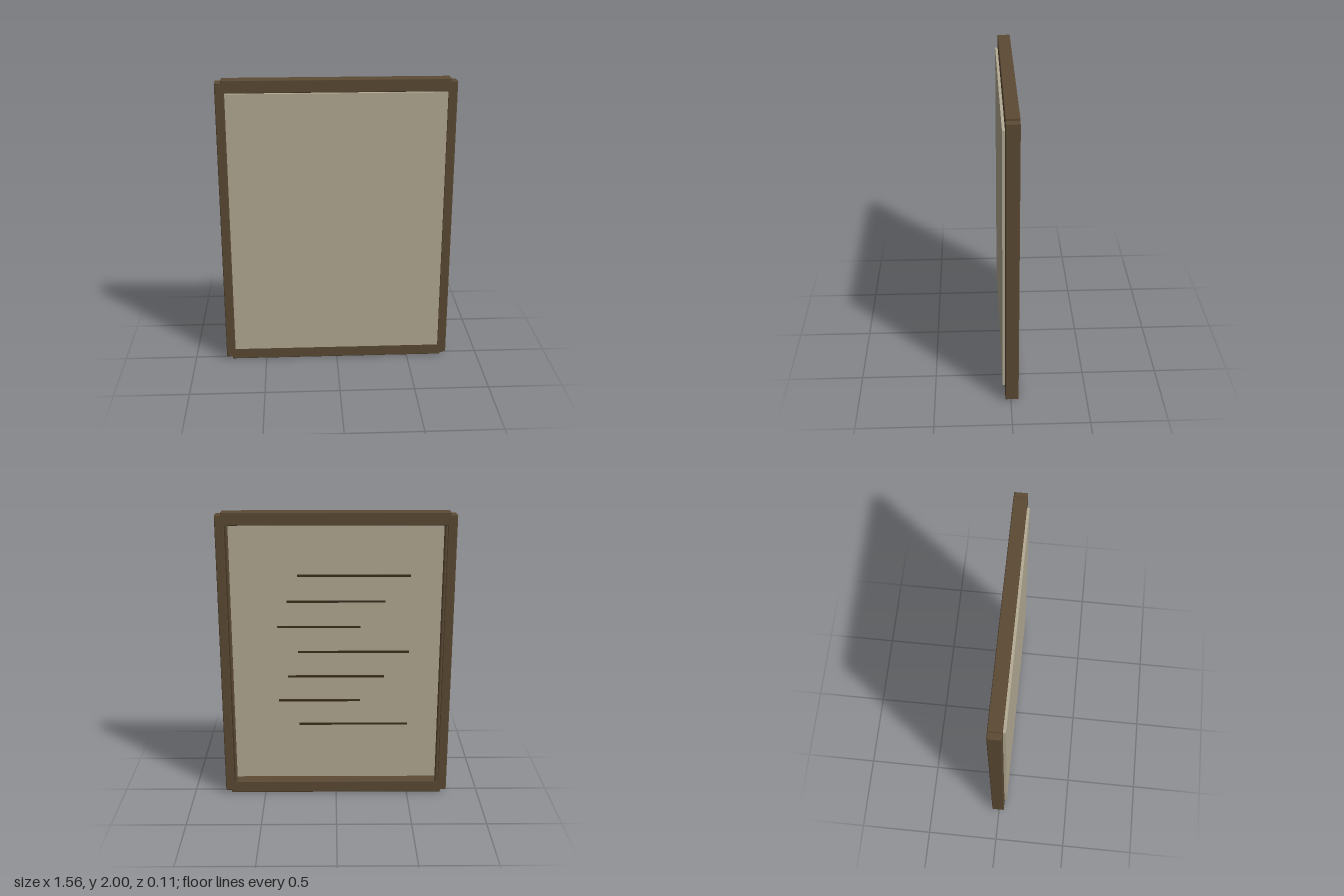
import * as THREE from 'three';
import { RoundedBoxGeometry } from 'three/addons/geometries/RoundedBoxGeometry.js';

const wood = new THREE.MeshStandardMaterial({ color: 0x5c4a34 });
const paper = new THREE.MeshStandardMaterial({ color: 0xb5ab95 });
const ink = new THREE.MeshStandardMaterial({ color: 0x3c2e1e });

export function createModel() {
  const model = new THREE.Group();
  model.name = 'framedPanel';

  const add = (name, geometry, material, x, y, z) => {
    const mesh = new THREE.Mesh(geometry, material);
    mesh.name = name;
    mesh.position.set(x, y, z);
    model.add(mesh);
    return mesh;
  };

  // Frame: long side rails, with slightly offset top and bottom rails
  const depth = 0.086, frameZ = -0.007;
  for (const [side, s] of [['left', 1], ['right', -1]]) {
    add(side + 'Rail', new RoundedBoxGeometry(0.062, 1.965, depth, 2, 0.006), wood, s * 0.75, 1, frameZ);
    // Slim bead along the inner back edge of each side rail
    add(side + 'Bead', new THREE.CylinderGeometry(0.012, 0.012, 1.83, 10), wood, s * 0.709, 1, -0.041);
  }
  for (const [end, y] of [['top', 1.957], ['bottom', 0.043]]) {
    add(end + 'Rail', new RoundedBoxGeometry(1.48, 0.086, depth, 2, 0.006), wood, 0, y, frameZ);
  }

  // Panel standing slightly proud of the frame's front
  add('panel', new THREE.BoxGeometry(1.434, 1.828, 0.023), paper, 0, 1, 0.0415);

  // Ruled strips on the back of the panel, in a repeating stagger
  const stagger = [[0.755, -0.12], [0.663, 0], [0.563, 0.115]];
  for (let i = 0; i < 7; i++) {
    const [length, x] = stagger[i % 3];
    add('backStrip' + (i + 1), new THREE.BoxGeometry(length, 0.014, 0.008), ink, x, 1.565 - i * 0.178, 0.028);
  }

  return model;
}
